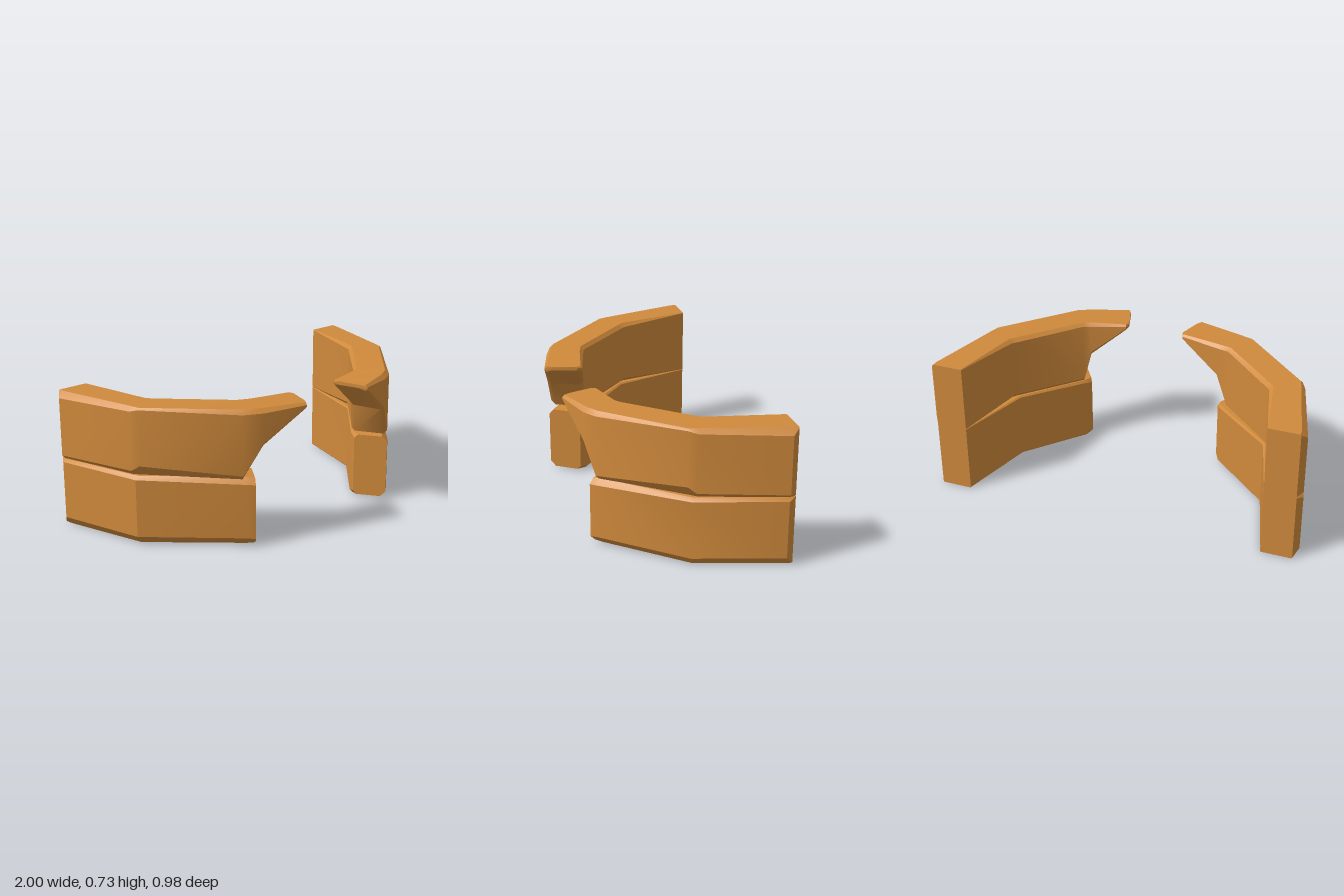
import * as THREE from 'three';
import { toCreasedNormals } from 'three/addons/utils/BufferGeometryUtils.js';

const material = new THREE.MeshStandardMaterial({ color: 0xd08a3c });

// Bevelled eight-sided section across the wall.
// station: outer x,z, inner x,z, bottom, top, outer bottom/top bevels, inner bevel, extra x on the left wall
function section([ox, oz, ix, iz, y0, y1, cb, ct, ci, dx = 0], side) {
  const len = Math.hypot(ix - ox, iz - oz);
  const at = (d, y) => {
    const t = d / len;
    const x = ox + (ix - ox) * t + (side > 0 ? dx : 0);
    return new THREE.Vector3(side * x, y, oz + (iz - oz) * t);
  };
  const hb = Math.min(cb, 0.035), ht = Math.min(ct, 0.035);
  return [
    at(0, y0 + cb), at(0, y1 - ct), at(ht, y1), at(len - ci, y1),
    at(len, y1 - ci), at(len, y0 + ci), at(len - ci, y0), at(hb, y0),
  ];
}

// Joins the sections into a closed stone course
function course(name, stations, side) {
  const rings = stations.map((s) => section(s, side));
  const pos = [];
  const tri = (a, b, c) => {
    for (const p of side > 0 ? [a, b, c] : [a, c, b]) pos.push(p.x, p.y, p.z);
  };
  for (let i = 0; i < rings.length - 1; i++) {
    for (let j = 0; j < 8; j++) {
      const k = (j + 1) % 8;
      const a = rings[i][j], b = rings[i + 1][j], c = rings[i + 1][k], d = rings[i][k];
      tri(a, d, c);
      tri(a, c, b);
    }
  }
  // End caps
  const first = rings[0], last = rings[rings.length - 1];
  for (let j = 1; j < 7; j++) {
    tri(first[0], first[j + 1], first[j]);
    tri(last[0], last[j], last[j + 1]);
  }
  const geo = new THREE.BufferGeometry();
  geo.setAttribute('position', new THREE.Float32BufferAttribute(pos, 3));
  const mesh = new THREE.Mesh(toCreasedNormals(geo, 0.5), material);
  mesh.name = name;
  return mesh;
}

// Lower course: bends once and ends in a bevelled face
const lower = [
  [0.975, -0.49, 0.810, -0.49, 0.004, 0.372, 0.004, 0.004, 0.003],
  [1.000, -0.45, 0.800, -0.45, 0.004, 0.372, 0.045, 0.016, 0.003],
  [0.872, 0.00, 0.690, -0.075, 0.006, 0.372, 0.042, 0.018, 0.008],
  [0.475, 0.385, 0.365, 0.215, 0.010, 0.368, 0.040, 0.030, 0.012, 0.06],
  [0.440, 0.410, 0.340, 0.260, 0.014, 0.362, 0.030, 0.028, 0.020, 0.065],
];

// Upper course: a bevelled corner, then an overhanging arm that rises to a tip
const upper = [
  [0.975, -0.49, 0.810, -0.49, 0.372, 0.730, 0.004, 0.004, 0.003],
  [1.000, -0.455, 0.802, -0.455, 0.372, 0.730, 0.018, 0.032, 0.004],
  [0.878, -0.025, 0.712, -0.100, 0.372, 0.729, 0.026, 0.022, 0.020],
  [0.855, 0.015, 0.690, -0.075, 0.372, 0.728, 0.055, 0.010, 0.020],
  [0.500, 0.385, 0.400, 0.215, 0.366, 0.727, 0.022, 0.022, 0.018, 0.03],
  [0.395, 0.425, 0.335, 0.235, 0.530, 0.724, 0.020, 0.022, 0.018, 0.06],
  [0.170, 0.485, 0.118, 0.290, 0.690, 0.722, 0.012, 0.012, 0.010, 0.09],
  [0.150, 0.450, 0.110, 0.320, 0.702, 0.721, 0.006, 0.006, 0.005, 0.09],
];

export function createModel() {
  const model = new THREE.Group();
  model.name = 'curvedWalls';
  for (const side of [1, -1]) {
    const wall = new THREE.Group();
    wall.name = side > 0 ? 'leftWall' : 'rightWall';
    wall.add(course('lowerCourse', lower, side), course('upperCourse', upper, side));
    model.add(wall);
  }
  return model;
}
